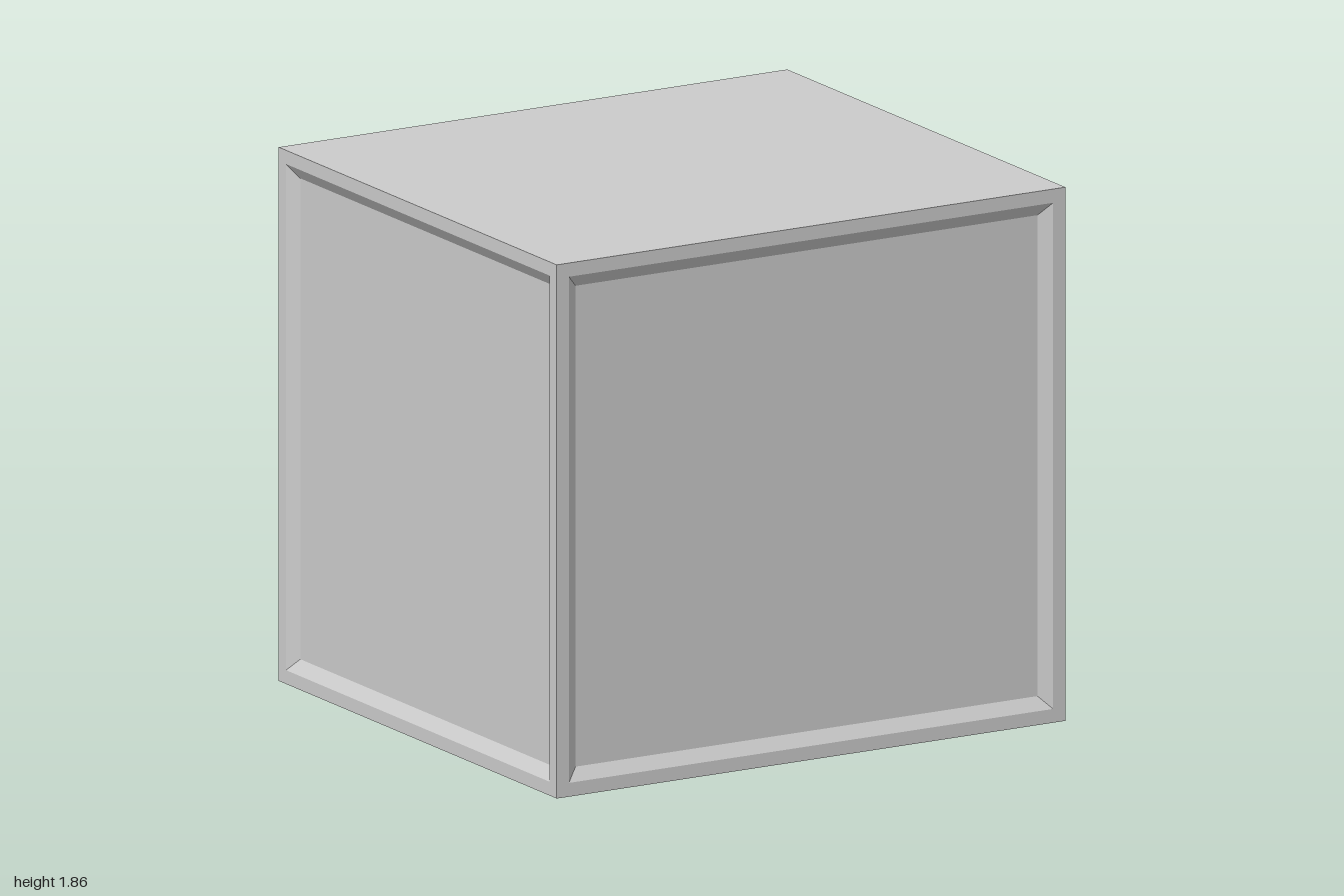
import * as THREE from 'three';
import { RoundedBoxGeometry } from 'three/addons/geometries/RoundedBoxGeometry.js';

const material = new THREE.MeshStandardMaterial({ color: 0xcccccc });
const sheetMaterial = new THREE.MeshStandardMaterial({ color: 0xcccccc, side: THREE.DoubleSide });
const W = 1, D = 0.91, H = 1.86;

// Sheet stepping through nested rectangles [x0, x1, y0, y1, z]; the last one may be capped
function steppedSheet(name, rects, cap = true) {
  const pos = [];
  const corners = ([x0, x1, y0, y1, z]) => [[x0, y0, z], [x1, y0, z], [x1, y1, z], [x0, y1, z]];
  const quad = (a, b, c, d) => pos.push(...a, ...b, ...c, ...a, ...c, ...d);
  for (let i = 0; i < rects.length - 1; i++) {
    const o = corners(rects[i]), n = corners(rects[i + 1]);
    for (let k = 0; k < 4; k++) {
      // an open bottom leaves no strip along the ground
      if (k === 0 && rects[i][2] === rects[i + 1][2]) continue;
      const m = (k + 1) % 4;
      quad(o[k], o[m], n[m], n[k]);
    }
  }
  if (cap) quad(...corners(rects[rects.length - 1]));
  const geometry = new THREE.BufferGeometry();
  geometry.setAttribute('position', new THREE.Float32BufferAttribute(pos, 3));
  geometry.computeVertexNormals();
  const mesh = new THREE.Mesh(geometry, sheetMaterial);
  mesh.name = name;
  return mesh;
}

// Wall with a raised frame and a bevel down to the recessed panel
function framedWall(name, half) {
  const rect = (inset, z) => [-half + inset, half - inset, inset, H - inset, z];
  return steppedSheet(name, [rect(0, 0), rect(0.048, 0), rect(0.092, -0.03)]);
}

// Wall with an opening down to the ground and two door leaves
function doorWall() {
  const group = new THREE.Group();
  group.name = 'doorWall';
  group.add(steppedSheet('doorFrame', [
    [-D, D, 0, H, 0],
    [-0.865, 0.865, 0, 1.815, 0],
    [-0.825, 0.825, 0, 1.775, -0.04],
  ], false));
  for (const s of [-1, 1]) {
    const span = (a, b) => (s > 0 ? [a, b] : [-b, -a]);
    group.add(steppedSheet(s > 0 ? 'rearDoor' : 'frontDoor', [
      [...span(0, 0.825), 0, 1.775, -0.04],
      [...span(0.045, 0.78), 0.05, 1.73, -0.04],
      [...span(0.053, 0.77), 0.07, 1.71, -0.058],
    ]));
  }
  return group;
}

// Robot arm standing on its base plate, reaching along +x
function robotArm() {
  const arm = new THREE.Group();
  arm.name = 'robotArm';
  const add = (name, geometry, x, y, z, axis = 'y') => {
    const mesh = new THREE.Mesh(geometry, material);
    mesh.name = name;
    mesh.position.set(x, y, z);
    if (axis === 'x') mesh.rotation.z = -Math.PI / 2;
    if (axis === 'z') mesh.rotation.x = Math.PI / 2;
    arm.add(mesh);
    return mesh;
  };
  const cyl = (r0, r1, h) => new THREE.CylinderGeometry(r0, r1, h, 28);
  const block = (x, y, z) => new RoundedBoxGeometry(x, y, z, 3, Math.min(x, y, z) * 0.25);

  // Base and turning column
  add('basePlate', new THREE.BoxGeometry(0.21, 0.02, 0.22), 0, 0.01, 0);
  add('basePedestal', cyl(0.075, 0.095, 0.07), 0, 0.055, 0);
  add('cableBox', block(0.08, 0.06, 0.08), -0.1, 0.055, 0);
  add('turntable', cyl(0.085, 0.085, 0.035), 0, 0.107, 0);
  add('shoulderBody', block(0.17, 0.1, 0.1), 0.03, 0.165, 0.015);
  add('turnMotor', cyl(0.03, 0.03, 0.1), -0.055, 0.18, -0.02);
  add('shoulderJoint', cyl(0.055, 0.055, 0.15), 0.09, 0.2, 0, 'z');
  add('shoulderMotor', cyl(0.035, 0.035, 0.09), 0.09, 0.2, 0.11, 'z');

  // Upper arm: a tapering link with a slightly bowed outline
  const link = new THREE.Shape();
  link.moveTo(-0.048, 0);
  link.quadraticCurveTo(-0.02, 0.2, -0.038, 0.4);
  link.absarc(0, 0.4, 0.038, Math.PI, 0, true);
  link.quadraticCurveTo(0.045, 0.2, 0.048, 0);
  link.absarc(0, 0, 0.048, 0, -Math.PI, true);
  add('upperArm', new THREE.ExtrudeGeometry(link, {
    depth: 0.035, bevelEnabled: true, bevelSize: 0.006, bevelThickness: 0.006, bevelSegments: 2, curveSegments: 14,
  }), 0.09, 0.2, -0.085);

  // Elbow and forearm
  add('elbowJoint', cyl(0.047, 0.047, 0.14), 0.09, 0.6, -0.02, 'z');
  add('elbowHousing', block(0.13, 0.12, 0.09), 0.085, 0.645, 0.02);
  add('elbowMotor', cyl(0.03, 0.03, 0.08), 0.09, 0.6, 0.085, 'z');
  for (const z of [-0.015, 0.05]) add('forearmMotor', cyl(0.024, 0.024, 0.08), -0.005, 0.665, z, 'x');
  add('forearm', cyl(0.032, 0.046, 0.24), 0.26, 0.675, 0.01, 'x');
  add('forearmCollar', cyl(0.038, 0.038, 0.025), 0.375, 0.675, 0.01, 'x');

  // Wrist fork, wrist and tool flange
  for (const z of [-0.025, 0.045]) add('wristFork', block(0.09, 0.05, 0.016), 0.42, 0.675, z);
  add('wristJoint', cyl(0.027, 0.027, 0.1), 0.445, 0.675, 0.01, 'z');
  add('wristBody', block(0.05, 0.045, 0.05), 0.465, 0.675, 0.01);
  add('toolFlange', cyl(0.022, 0.022, 0.03), 0.5, 0.675, 0.01, 'x');

  arm.position.set(-0.36, 0, -0.035);
  return arm;
}

export function createModel() {
  const model = new THREE.Group();
  model.name = 'robotCell';

  // Four walls around an open floor
  const front = framedWall('frontWall', W);
  front.position.z = D;
  const back = framedWall('backWall', W);
  back.position.z = -D;
  back.rotation.y = Math.PI;
  const right = framedWall('closedSideWall', D);
  right.position.x = -W;
  right.rotation.y = -Math.PI / 2;
  const doors = doorWall();
  doors.position.x = W;
  doors.rotation.y = Math.PI / 2;

  // Flat roof
  const roof = steppedSheet('roof', [[-W, W, -D, D, 0]]);
  roof.rotation.x = -Math.PI / 2;
  roof.position.y = H;

  model.add(front, back, right, doors, roof, robotArm());
  return model;
}
